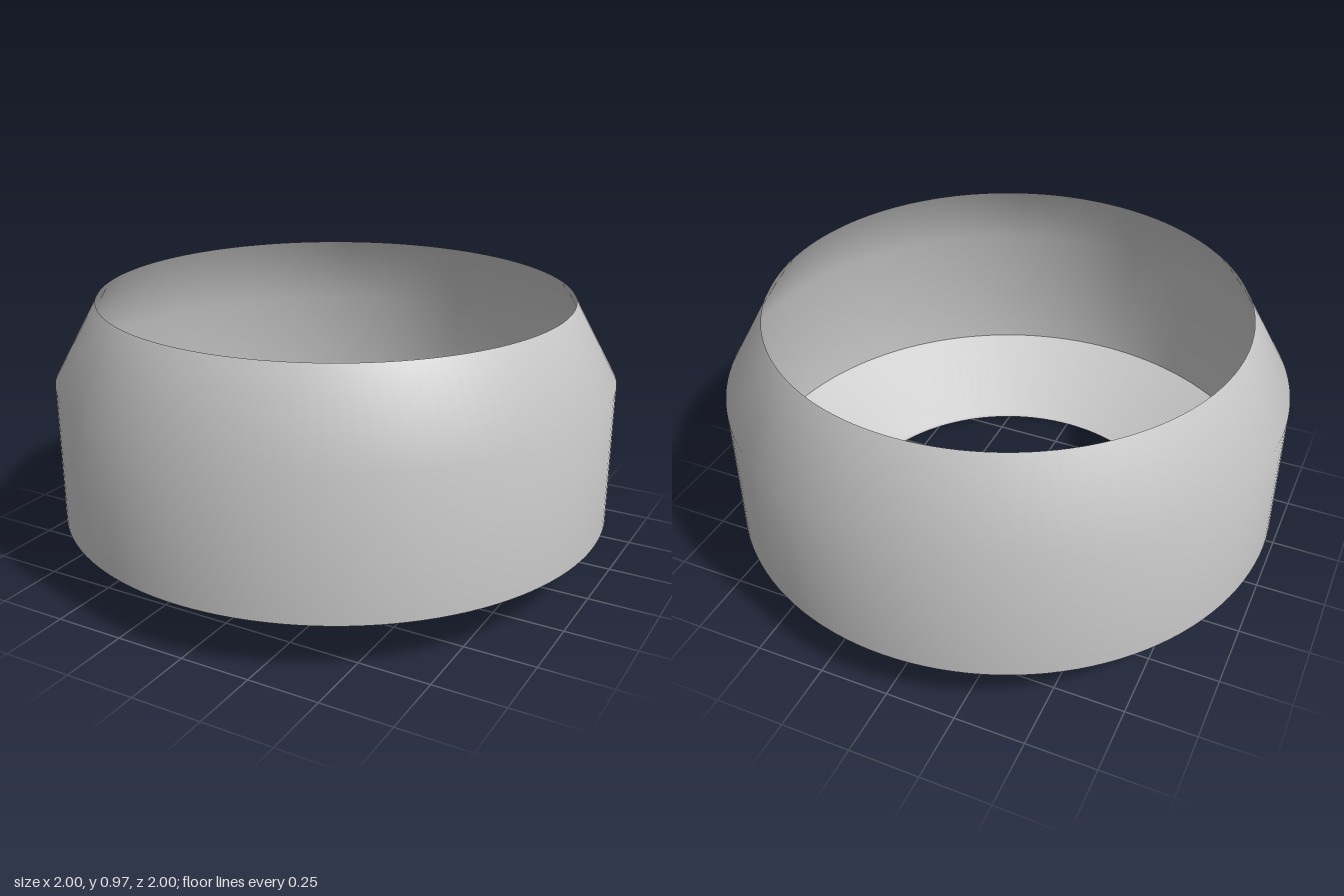
import * as THREE from 'three';

// Open, thin-walled ring: a smooth upper band and a tapered base meeting at a hard edge
export function createModel() {
  const group = new THREE.Group();
  group.name = 'taperedRing';
  const grey = new THREE.MeshStandardMaterial({ color: 0xc8c8c8, side: THREE.DoubleSide });
  grey.name = 'grey';

  const addBand = (name, profile) => {
    const points = profile.map(([r, y]) => new THREE.Vector2(r, y));
    const mesh = new THREE.Mesh(new THREE.LatheGeometry(points, 128), grey);
    mesh.name = name;
    group.add(mesh);
  };

  // Narrow lip around the hole, then the sloping underside
  addBand('base', [[0.635, 0], [0.655, 0], [1, 0.19]]);
  // Upright wall leaning in to the open rim
  addBand('wall', [[1, 0.19], [1, 0.69], [0.845, 0.97]]);

  return group;
}
